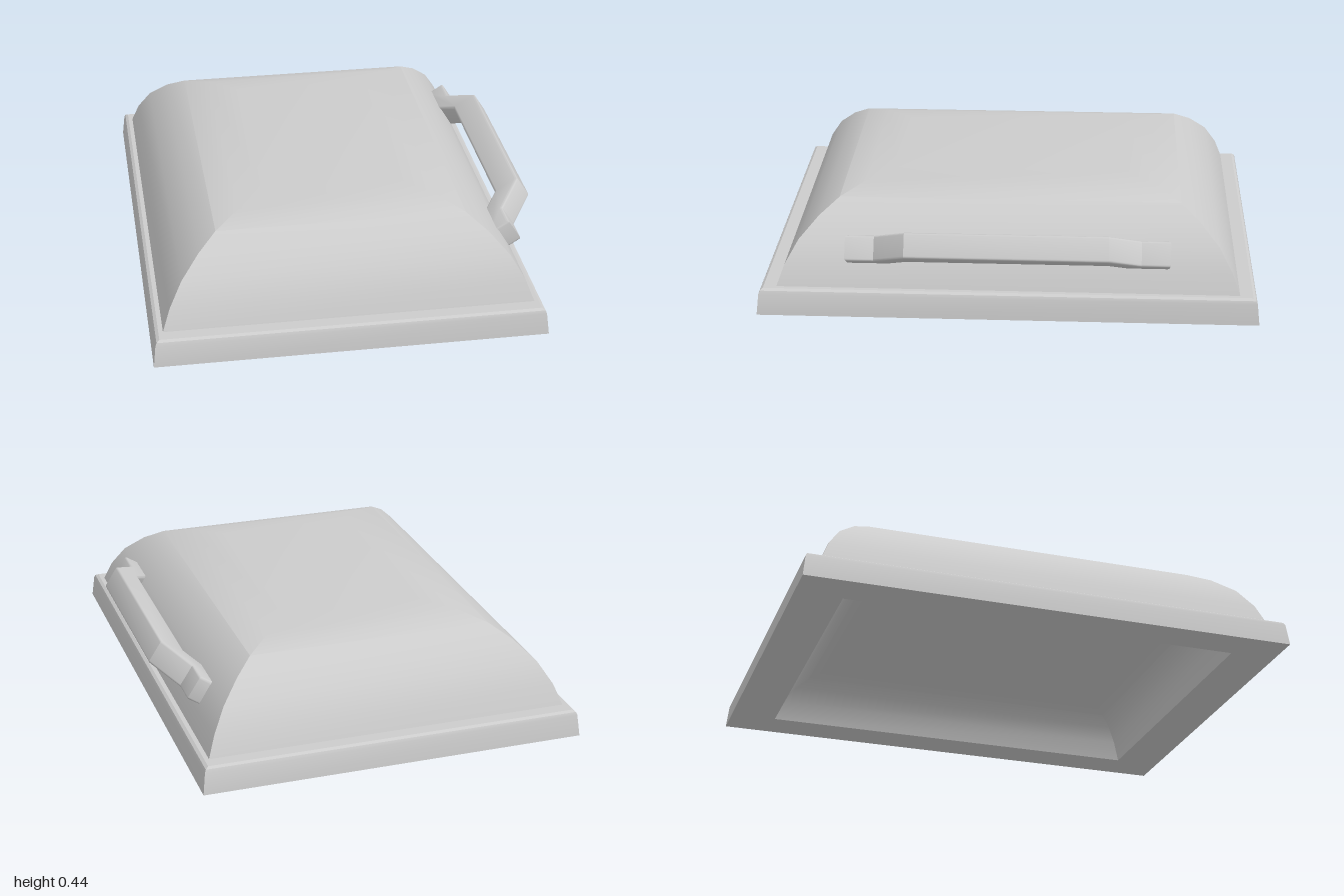
import * as THREE from 'three';
import { mergeGeometries, toCreasedNormals } from 'three/addons/utils/BufferGeometryUtils.js';

const material = new THREE.MeshStandardMaterial({ color: 0xcccccc });
const CENTER_X = -0.028;
const CREASE = Math.PI / 6;
const CORNERS = [[-1, 1], [1, 1], [1, -1], [-1, -1]];

// Rectangular loft through rings [halfX, halfZ, y]; steep mitred corners stay
// sharp while shallow ones blend into a smooth surface.
function rectLoft(rings) {
  const sides = CORNERS.map((a, k) => {
    const b = CORNERS[(k + 1) % 4];
    const positions = [], index = [];
    rings.forEach(([hx, hz, y], i) => {
      for (const [sx, sz] of [a, b]) positions.push(CENTER_X + sx * hx, y, sz * hz);
      if (i > 0) {
        const p = 2 * (i - 1);
        index.push(p, p + 1, p + 3, p, p + 3, p + 2);
      }
    });
    const geometry = new THREE.BufferGeometry();
    geometry.setAttribute('position', new THREE.Float32BufferAttribute(positions, 3));
    geometry.setIndex(index);
    return geometry;
  });
  return toCreasedNormals(mergeGeometries(sides), CREASE);
}

// Turns [inset, y] points into rings of a rectangle that shrinks evenly
const insetRings = (hx, hz, profile) => profile.map(([d, y]) => [hx - d, hz - d, y]);

function addMesh(group, name, geometry) {
  const mesh = new THREE.Mesh(geometry, material);
  mesh.name = name;
  group.add(mesh);
}

export function createModel() {
  const model = new THREE.Group();
  model.name = 'domedLid';

  // Base frame: underside, tapered walls, small bevel and top ledge
  addMesh(model, 'rim', rectLoft([
    [0.627, 0.81, 0], [0.777, 1, 0], [0.767, 0.99, 0.088],
    [0.762, 0.985, 0.1], [0.75, 0.974, 0.107], [0.72, 0.91, 0.107],
  ]));

  // Rounded outer shell, closed at the middle of its flat top
  addMesh(model, 'dome', rectLoft([
    ...insetRings(0.733, 0.923, [
      [0, 0.105], [0.032, 0.19], [0.085, 0.277], [0.16, 0.35],
      [0.235, 0.4], [0.335, 0.433], [0.45, 0.444],
    ]),
    [0, 0, 0.444],
  ]));

  // Shallow hollow underside, from the middle of its ceiling to the opening
  addMesh(model, 'cavity', rectLoft([
    [0, 0, 0.18],
    ...insetRings(0.627, 0.81, [
      [0.22, 0.18], [0.17, 0.177], [0.12, 0.163], [0.07, 0.13], [0.03, 0.075], [0, 0],
    ]),
  ]));

  // Handle outline: x is the distance out from the dome, y runs along the side
  const half = [[0.06, 0.395], [-0.03, 0.5], [-0.03, 0.645], [0.06, 0.645],
    [0.06, 0.53], [0.17, 0.4]];
  const outline = [...half, ...half.map(([s, z]) => [s, -z]).reverse()];
  const bevel = 0.01, thickness = 0.104;
  const handle = new THREE.ExtrudeGeometry(
    new THREE.Shape(outline.map(([s, z]) => new THREE.Vector2(s, z))), {
      depth: thickness - 2 * bevel, bevelThickness: bevel, bevelSize: bevel,
      bevelOffset: -bevel, bevelSegments: 3,
    });
  handle.translate(0, 0, bevel);

  // Tilt it so it stands square to the sloping side of the dome
  const tilt = 0.57;
  const out = new THREE.Vector3(Math.cos(tilt), Math.sin(tilt), 0);
  const along = new THREE.Vector3(0, 0, 1);
  const matrix = new THREE.Matrix4().makeBasis(out, along, out.clone().cross(along));
  matrix.setPosition(0.608, 0.285, 0);
  addMesh(model, 'handle', toCreasedNormals(handle.applyMatrix4(matrix), CREASE * 1.2));

  return model;
}
